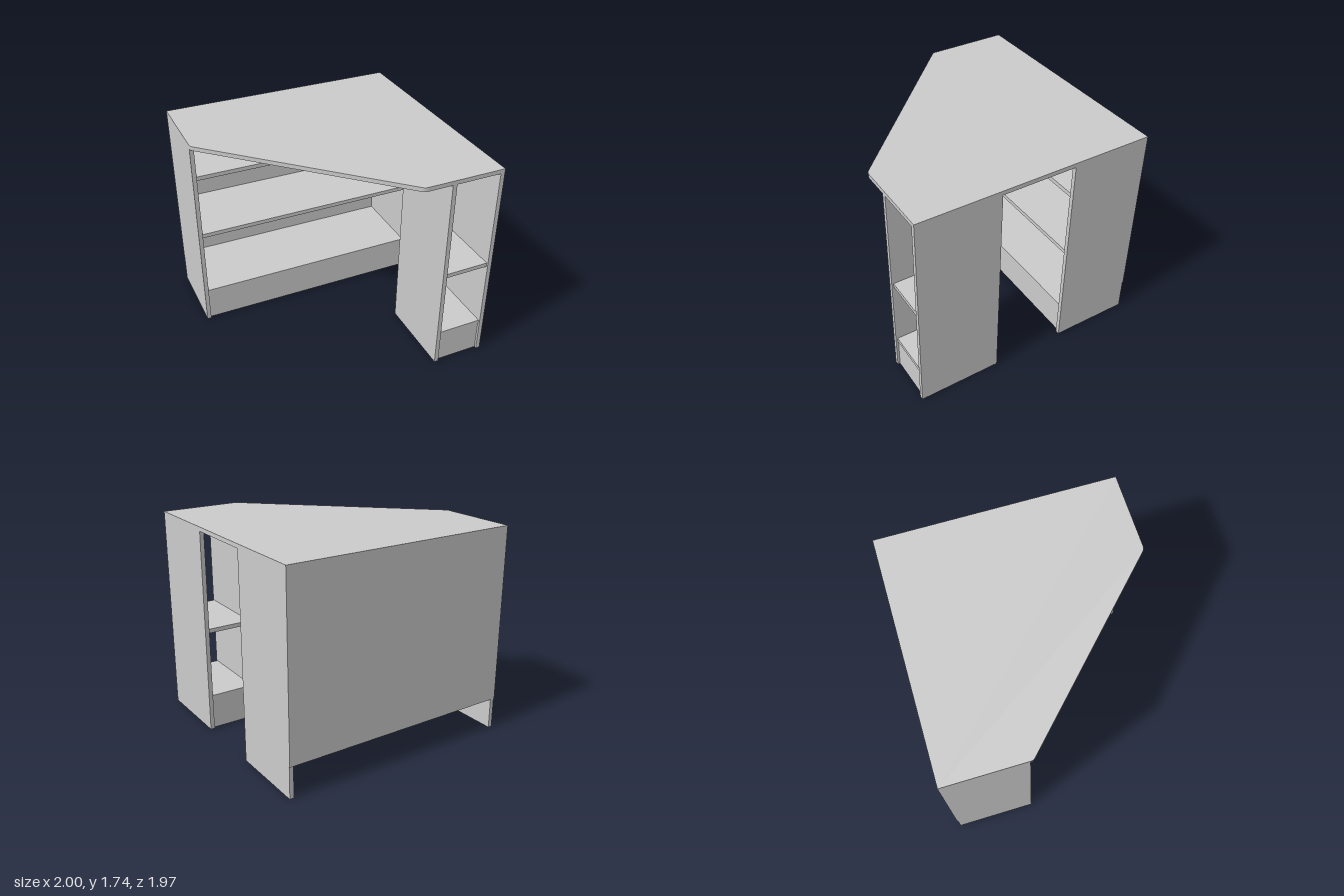
import * as THREE from 'three';

export function createModel() {
  const model = new THREE.Group();
  model.name = 'cornerDesk';
  const board = new THREE.MeshStandardMaterial({ color: 0xcccccc });
  board.name = 'grey board';

  const T = 0.035;        // board thickness
  const UNDER = 1.705;    // underside of the desk top

  // Box given by its limits on each axis
  function panel(parent, name, [x0, x1], [y0, y1], [z0, z1]) {
    const mesh = new THREE.Mesh(new THREE.BoxGeometry(x1 - x0, y1 - y0, z1 - z0), board);
    mesh.position.set((x0 + x1) / 2, (y0 + y1) / 2, (z0 + z1) / 2);
    mesh.name = name;
    parent.add(mesh);
  }

  // Desk top: square with one corner cut off, ends of the cut rounded (outline y = -z)
  const outline = new THREE.Shape();
  outline.moveTo(-1, 0.985);
  outline.lineTo(-1, 0.32);
  outline.quadraticCurveTo(-1, 0.296, -0.982, 0.28);
  outline.lineTo(0.308, -0.965);
  outline.quadraticCurveTo(0.328, -0.985, 0.355, -0.985);
  outline.lineTo(1, -0.985);
  outline.lineTo(1, 0.985);
  const topGeometry = new THREE.ExtrudeGeometry(outline, { depth: T, bevelEnabled: false, curveSegments: 6 });
  topGeometry.rotateX(-Math.PI / 2);
  const top = new THREE.Mesh(topGeometry, board);
  top.position.y = UNDER;
  top.name = 'deskTop';
  model.add(top);

  // Open shelf unit: two sides, shelves and a recessed plinth
  function shelfUnit(name, x0, x1, z0, z1, shelfHeights, backInset) {
    const unit = new THREE.Group();
    unit.name = name;
    const inner = [x0 + T, x1 - T];
    panel(unit, 'rightSide', [x0, x0 + T], [0, UNDER], [z0, z1]);
    panel(unit, 'leftSide', [x1 - T, x1], [0, UNDER], [z0, z1]);
    for (const y of shelfHeights) {
      panel(unit, 'shelf', inner, [y, y + T], [z0 + backInset, z1 - 0.015]);
    }
    panel(unit, 'frontPlinth', inner, [0, shelfHeights[0]], [z1 - 0.02 - T, z1 - 0.02]);
    model.add(unit);
    return unit;
  }

  // Wide unit along the back, closed by a thin back panel above the plinth
  const wide = shelfUnit('backShelfUnit', -1, 1, -0.978, -0.32, [0.263, 0.853, 1.405], 0);
  panel(wide, 'backPanel', [-1, 1], [0.263, UNDER], [-0.985, -0.978]);

  // Narrow unit at the front, open on both sides, with a second plinth
  const narrow = shelfUnit('frontShelfUnit', 0.558, 1, 0.3, 0.985, [0.263, 0.853], 0.015);
  panel(narrow, 'backPlinth', [0.558 + T, 1 - T], [0, 0.263], [0.32, 0.32 + T]);

  // Small button on the inner face of the wide unit
  const button = new THREE.Mesh(new THREE.SphereGeometry(0.023, 16, 10), board);
  button.scale.x = 0.4;
  button.position.set(-1 + T, 1.63, -0.4);
  button.name = 'sideButton';
  model.add(button);

  return model;
}
